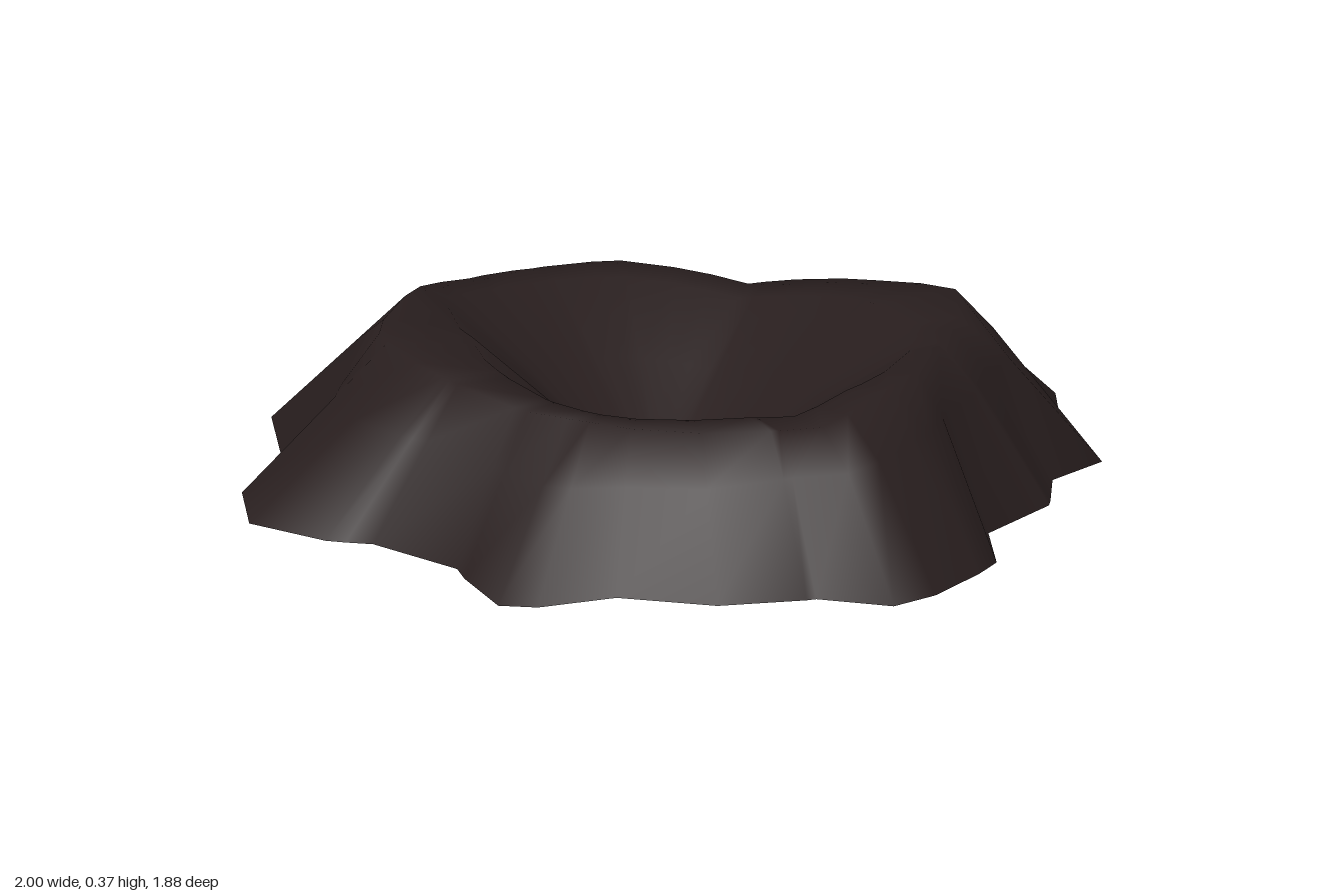
import * as THREE from 'three';

// ragged foot outline, [x, z]
const FOOT = [
  [1, -.24], [.96, -.05], [.99, .2], [.85, .28], [.8, .43], [.62, .56], [.59, .74], [.4, .9], [.29, .94],
  [.13, .85], [-.1, .83], [-.31, .72], [-.5, .73], [-.585, .695], [-.615, .45], [-.76, .25], [-.86, .2],
  [-1, .05], [-.965, -.14], [-.855, -.22], [-.82, -.32], [-.775, -.575], [-.57, -.68], [-.37, -.72],
  [-.27, -.78], [-.175, -.88], [0, -.94], [.11, -.885], [.3, -.935], [.45, -.925], [.58, -.74],
  [.58, -.58], [.72, -.475], [.88, -.4],
];

// outer edge of the rim, [x, z, height, bulge of the slope below, radius share of the inner lip]
const RIM = [
  [.71, -.05, .36, .06, .74], [.58, .29, .37, .08, .9], [.36, .54, .365, .11, .86], [.2, .65, .34, .13, .82],
  [.08, .64, .34, .09, .8], [-.08, .57, .325, .04, .8], [-.3, .42, .32, 0, .84], [-.42, .35, .33, 0, .8],
  [-.55, .15, .345, 0, .75], [-.635, -.15, .355, 0, .67], [-.46, -.43, .345, 0, .88], [-.32, -.52, .315, 0, .9],
  [-.15, -.59, .295, .02, .9], [.07, -.62, .28, 0, .88], [.34, -.5, .24, -.02, .88], [.58, -.26, .315, 0, .82],
];

const TAU = Math.PI * 2;

// outline as sorted polar samples
function polar(points) {
  return points
    .map(([x, z, ...rest]) => ({ a: (Math.atan2(z, x) + TAU) % TAU, v: [Math.hypot(x, z), ...rest] }))
    .sort((p, q) => p.a - q.a);
}

// radius and further values of an outline at any angle
function sample(outline, a) {
  const n = outline.length;
  let k = outline.findIndex((p) => p.a > a + 1e-9);
  if (k < 0) k = n;
  const p = outline[(k + n - 1) % n], q = outline[k % n];
  const t = ((a - p.a + TAU) % TAU) / ((q.a - p.a + TAU) % TAU);
  return p.v.map((value, i) => value + (q.v[i] - value) * t);
}

function craterGeometry() {
  const foot = polar(FOOT), rim = polar(RIM);
  // angles of all corners, without near duplicates
  const angles = [...foot, ...rim].map((p) => p.a).sort((a, b) => a - b)
    .filter((a, i, all) => i === 0 || a - all[i - 1] > .02);
  const n = angles.length, rings = 6;
  const pos = [], index = [];

  // cross-section [radius, height] from foot over the rim to the bowl floor
  const sections = angles.map((a) => {
    const [footR] = sample(foot, a);
    const [r, y, bulge, lip] = sample(rim, a);
    const lipR = r * lip;
    return [
      [footR, 0],
      [footR + (r - footR) * .64, y * (.64 + bulge)],
      [r, y],
      [lipR, y * .96],
      [lipR * .62, y * .54],
      [lipR * .25, .03],
    ];
  });
  for (let j = 0; j < rings; j++) {
    sections.forEach((s, i) => {
      const [r, y] = s[j];
      pos.push(Math.cos(angles[i]) * r, y, Math.sin(angles[i]) * r);
    });
  }
  pos.push(0, .01, -.02); // bottom of the bowl

  for (let j = 0; j < rings; j++) {
    for (let i = 0; i < n; i++) {
      const a = j * n + i, b = j * n + (i + 1) % n;
      if (j === rings - 1) index.push(a, rings * n, b);
      else index.push(a, a + n, b, b, a + n, b + n);
    }
  }
  const geo = new THREE.BufferGeometry();
  geo.setAttribute('position', new THREE.Float32BufferAttribute(pos, 3));
  geo.setIndex(index);
  geo.computeVertexNormals();
  return geo;
}

export function createModel() {
  const darkRock = new THREE.MeshStandardMaterial({ color: 0x281e1e, side: THREE.DoubleSide });
  darkRock.name = 'darkRock';

  // open shell: mound and bowl in one skin
  const crater = new THREE.Mesh(craterGeometry(), darkRock);
  crater.name = 'craterMound';

  const group = new THREE.Group();
  group.name = 'crater';
  group.add(crater);
  return group;
}
